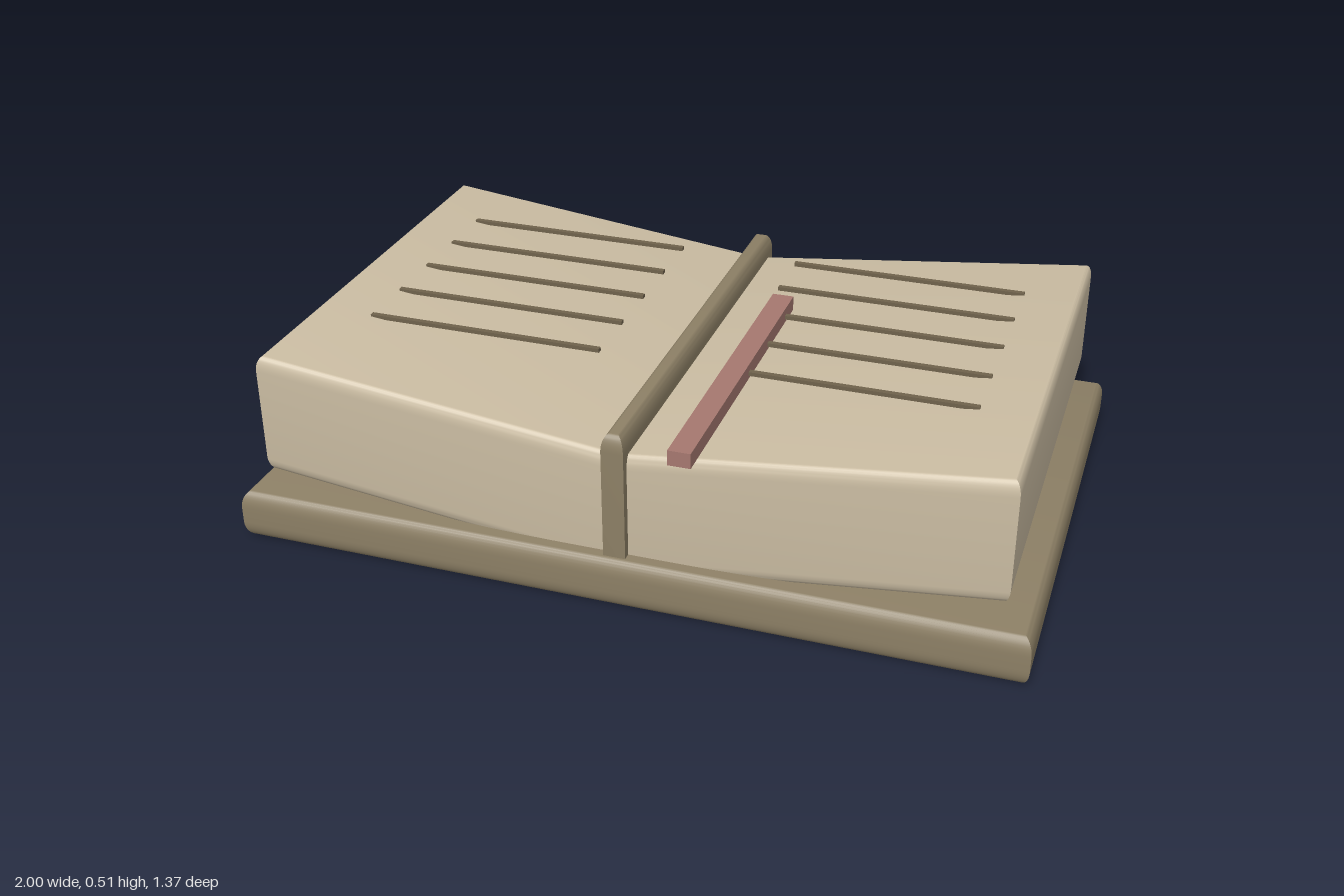
import * as THREE from 'three';
import { toCreasedNormals } from 'three/addons/utils/BufferGeometryUtils.js';

const material = (name, color) => {
  const m = new THREE.MeshStandardMaterial({ color });
  m.name = name;
  return m;
};

// Slab with square plan corners and softly rolled top and bottom edges
function softSlab(x0, x1, y0, y1, z0, z1, inset, roll) {
  const shape = new THREE.Shape();
  shape.moveTo(x0, -z1);
  shape.lineTo(x1, -z1);
  shape.lineTo(x1, -z0);
  shape.lineTo(x0, -z0);
  shape.closePath();
  const geometry = new THREE.ExtrudeGeometry(shape, {
    depth: y1 - y0 - 2 * roll,
    bevelThickness: roll,
    bevelSize: inset,
    bevelOffset: -inset,
    bevelSegments: 8,
  });
  geometry.rotateX(-Math.PI / 2);
  geometry.translate(0, y0 + roll, 0);
  return toCreasedNormals(geometry, 0.6);
}

export function createModel() {
  const model = new THREE.Group();
  model.name = 'openBook';
  const paper = material('paper', 0xcabca2);
  const cover = material('cover', 0x8c7f65);
  const ink = material('ink', 0x6f624c);
  const ribbon = material('ribbon', 0xa5786f);

  const add = (name, geometry, mat) => {
    const mesh = new THREE.Mesh(geometry, mat);
    mesh.name = name;
    model.add(mesh);
    return mesh;
  };

  // Cover board and central spine
  add('coverBoard', softSlab(-1, 1, 0, 0.132, -0.687, 0.607, 0.025, 0.045), cover);
  add('spine', softSlab(-0.028, 0.028, 0.06, 0.462, -0.66, 0.584, 0.02, 0.045), cover);

  for (const side of [1, -1]) {
    const label = side > 0 ? 'left' : 'right';

    // Page block, sheared so that it climbs towards its outer edge
    const x0 = side > 0 ? -0.02 : -0.935;
    const pages = softSlab(x0, x0 + 0.955, 0.08, 0.4, -0.637, 0.563, 0.018, 0.04);
    const slope = 0.114 * side;
    pages.applyMatrix4(new THREE.Matrix4().set(
      1, 0, 0, 0,
      slope, 1, 0, 0,
      0, 0, 1, 0,
      0, 0, 0, 1));
    add(label + 'Pages', pages, paper);

    // Level text lines
    for (let i = 0; i < 5; i++) {
      const line = add(label + 'TextLine' + (i + 1), new THREE.BoxGeometry(0.626, 0.01, 0.014), ink);
      line.position.set(side * 0.474, 0.49, -0.417 + i * 0.1625);
    }
  }

  // Bookmark overhanging the front edge
  const bookmark = add('bookmark', new THREE.BoxGeometry(0.055, 0.038, 0.85), ribbon);
  bookmark.position.set(0.198, 0.495, 0.26);

  return model;
}
